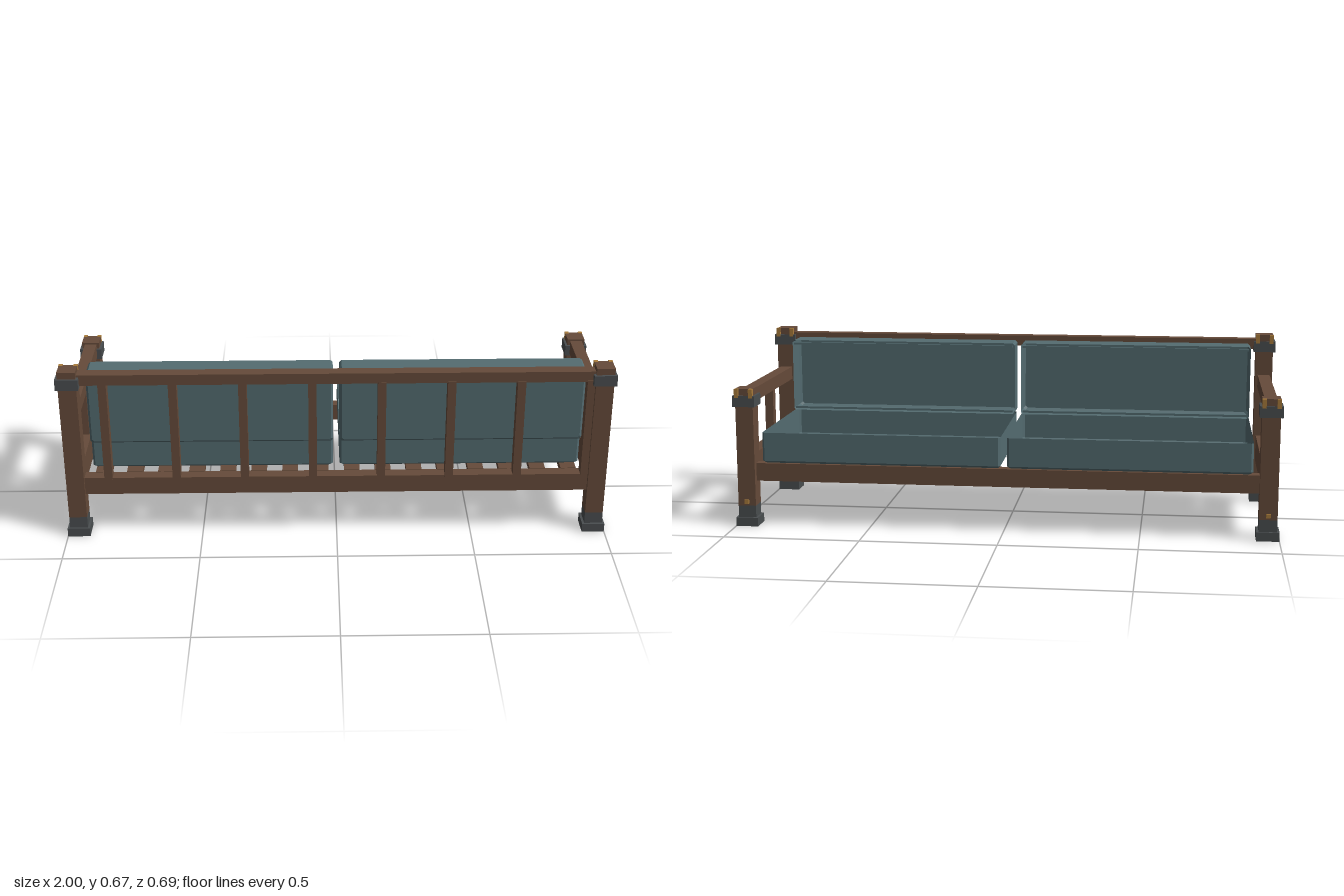
import * as THREE from 'three';

const paint = (name, color, side = THREE.FrontSide) => {
  const m = new THREE.MeshStandardMaterial({ color, side });
  m.name = name;
  return m;
};

// Open box with chamfered upright edges: closed floor at y = 0, open at y = h
function trayGeometry(w, h, d, c = 0.008) {
  const ring = (y, inset) => {
    const x = w / 2 - inset, z = d / 2 - inset;
    return [[x, z - c], [x - c, z], [c - x, z], [-x, z - c], [-x, c - z], [c - x, -z], [x - c, -z], [x, c - z]]
      .map(([px, pz]) => [px, y, pz]);
  };
  const rings = [ring(0, c), ring(c, 0), ring(h, 0)];
  const pos = [];
  for (let i = 0; i < 8; i++) {
    const j = (i + 1) % 8;
    pos.push(...[0, 0, 0], ...rings[0][j], ...rings[0][i]);
    for (let k = 0; k < 2; k++) {
      const a = rings[k][i], b = rings[k][j], t = rings[k + 1][j], u = rings[k + 1][i];
      pos.push(...a, ...b, ...t, ...a, ...t, ...u);
    }
  }
  // Flip the winding so that walls and floor face outward
  for (let i = 0; i < pos.length; i += 9) {
    for (let n = 0; n < 3; n++) [pos[i + 3 + n], pos[i + 6 + n]] = [pos[i + 6 + n], pos[i + 3 + n]];
  }
  const g = new THREE.BufferGeometry();
  g.setAttribute('position', new THREE.Float32BufferAttribute(pos, 3));
  g.computeVertexNormals();
  return g;
}

export function createModel() {
  const wood = paint('brown wood', 0x664b3a);
  const metal = paint('dark metal', 0x4a4e50);
  const brass = paint('brass', 0xa97c3c);
  const fabric = paint('teal fabric', 0x546c71, THREE.DoubleSide);
  const model = new THREE.Group();
  model.name = 'benchSofa';

  // Box given by its extents on each axis
  const box = (name, mat, [x0, x1], [y0, y1], [z0, z1], parent = model) => {
    const mesh = new THREE.Mesh(new THREE.BoxGeometry(x1 - x0, y1 - y0, z1 - z0), mat);
    mesh.position.set((x0 + x1) / 2, (y0 + y1) / 2, (z0 + z1) / 2);
    mesh.name = name;
    parent.add(mesh);
    return mesh;
  };
  const span = (c, r) => [c - r, c + r];

  // Corner posts with feet, collars, caps and brass fittings
  function post(name, x, z, top) {
    const g = new THREE.Group();
    g.name = name;
    g.position.set(x, 0, z);
    model.add(g);
    const r = 0.033, R = 0.0415;
    box('foot', metal, span(0, R), [0, 0.033], span(0, R), g);
    box('footSleeve', metal, span(0, r), [0.033, 0.077], span(0, r), g);
    box('shaft', wood, span(0, r), [0.077, top - 0.066], span(0, r), g);
    box('collar', metal, span(0, R), [top - 0.066, top - 0.025], span(0, R), g);
    box('cap', wood, span(0, r), [top - 0.025, top], span(0, r), g);
    box('peg', brass, span(0, 0.008), [0.085, 0.1], [-R, -r], g);
    for (const s of [-1, 1]) {
      box('cornerFitting', brass, span(s * 0.0265, 0.0075), [top - 0.033, top + 0.0005], [-R - 0.0005, -0.026], g);
    }
  }

  for (const s of [-1, 1]) {
    const side = s > 0 ? 'left' : 'right';
    post(side + 'TallPost', s * 0.9585, 0.302, 0.667);
    post(side + 'ShortPost', s * 0.9585, -0.3, 0.517);

    // Arm frame
    const x = span(s * 0.958, 0.023);
    box(side + 'Arm', wood, x, [0.46, 0.51], [-0.268, 0.27]);
    box(side + 'ArmUpright', wood, span(s * 0.958, 0.016), [0.267, 0.46], [0, 0.034]);
    box(side + 'SideRail', wood, x, [0.168, 0.235], [-0.268, 0.27]);
    box(side + 'SideRailCap', wood, x, [0.235, 0.267], [-0.268, 0.27]);

    // Seat cushion, open at the top
    const seat = new THREE.Mesh(trayGeometry(0.89, 0.114, 0.55), fabric);
    seat.name = side + 'SeatCushion';
    seat.position.set(s * 0.457, 0.236, -0.033);
    model.add(seat);

    // Backrest cushion, open toward the seat
    const back = new THREE.Mesh(trayGeometry(0.89, 0.105, 0.281), fabric);
    back.name = side + 'BackCushion';
    back.rotation.x = -Math.PI / 2;
    back.position.set(s * 0.457, 0.4925, 0.272);
    model.add(back);
    for (const y of [0.364, 0.621]) {
      box('cushionWelt', fabric, span(s * 0.457, 0.437), span(y, 0.004), [0.158, 0.168]);
    }
  }

  // Long rails
  box('backTopRail', wood, [-0.93, 0.93], [0.61, 0.65], [0.276, 0.322]);
  box('backLowerRail', wood, [-0.93, 0.93], [0.168, 0.235], [0.276, 0.322]);
  box('seatEdgeRail', wood, [-0.93, 0.93], [0.168, 0.235], [-0.31, -0.27]);

  // Upright back slats
  for (let i = 0; i < 8; i++) {
    box('backSlat', wood, span(-0.837 + i * 0.25, 0.015), [0.225, 0.615], [0.284, 0.324]);
  }

  // Seat slats
  for (let i = 0; i < 16; i++) {
    box('seatSlat', wood, span((i - 7.5) * 0.1147, 0.0287), [0.215, 0.237], [-0.272, 0.278]);
  }
  return model;
}
